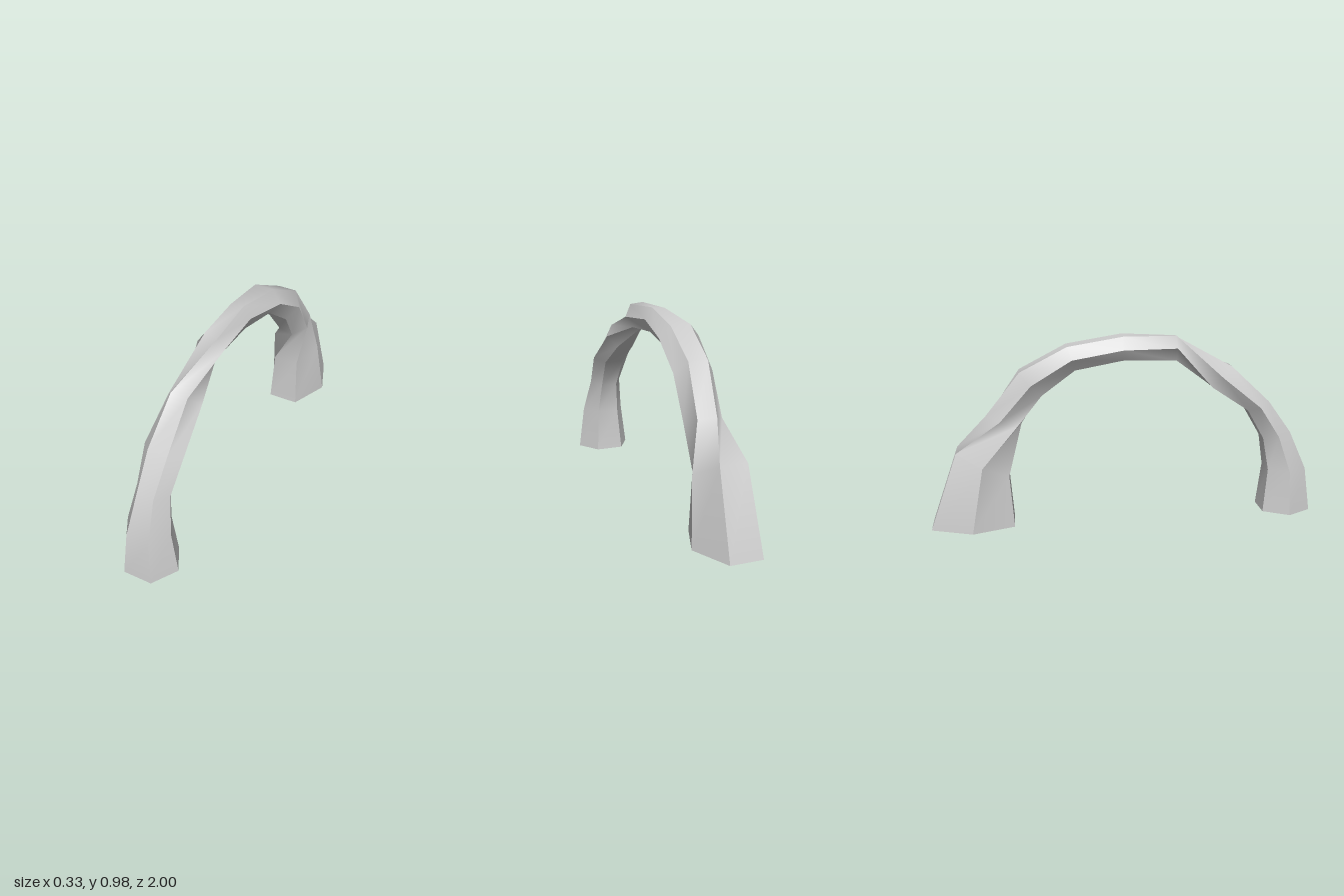
import * as THREE from 'three';

const SIDES = 6;
const rad = THREE.MathUtils.degToRad;

// Cross-sections from front foot to back foot:
// centre x, y, z, outward tilt (deg), half width, half depth, twist (deg)
const SECTIONS = [
  [0, 0.02, 0.872, 0, 0.15, 0.147, 0],
  [0, 0.25, 0.87, 0, 0.12, 0.117, 0],
  [0, 0.435, 0.812, 12, 0.09, 0.085, 0],
  [0, 0.598, 0.705, 22, 0.105, 0.069, 0],
  [0, 0.755, 0.51, 48, 0.09, 0.085, 0],
  [0, 0.905, 0.27, 90, 0.07, 0.073, 66],
  [0, 0.915, -0.005, 90, 0.07, 0.072, 55],
  [0, 0.87, -0.27, 108, 0.105, 0.073, 60],
  [0.02, 0.74, -0.475, 132, 0.1, 0.095, 60],
  [0.035, 0.545, -0.615, 162, 0.09, 0.1, 72],
  [0, 0.335, -0.728, 154, 0.138, 0.17, 120],
  [0, 0, -0.787, 180, 0.165, 0.245, 120],
];

// Corner points of one hexagonal section
function ring([x, y, z, tilt, width, depth, twist]) {
  const points = [];
  for (let i = 0; i < SIDES; i++) {
    const phi = rad(-30 + 60 * i + twist);
    const out = Math.cos(phi) * depth;
    points.push([
      x + Math.sin(phi) * width,
      y + Math.sin(rad(tilt)) * out,
      z + Math.cos(rad(tilt)) * out,
    ]);
  }
  return points;
}

function createGeometry(rings) {
  const positions = [];
  const indices = [];

  // Each strip owns its vertices: smooth along the arch, sharp between strips
  for (let i = 0; i < SIDES; i++) {
    const base = positions.length / 3;
    rings.forEach((r) => positions.push(...r[i], ...r[(i + 1) % SIDES]));
    for (let k = 0; k < rings.length - 1; k++) {
      const a = base + 2 * k;
      indices.push(a, a + 1, a + 3, a, a + 3, a + 2);
    }
  }

  // Flat undersides of the feet
  const ends = [[...rings[0]].reverse(), rings[rings.length - 1]];
  for (const end of ends) {
    const base = positions.length / 3;
    end.forEach((p) => positions.push(...p));
    for (let i = 1; i < SIDES - 1; i++) indices.push(base, base + i, base + i + 1);
  }

  const geometry = new THREE.BufferGeometry();
  geometry.setAttribute('position', new THREE.Float32BufferAttribute(positions, 3));
  geometry.setIndex(indices);
  geometry.computeVertexNormals();
  return geometry;
}

export function createModel() {
  const group = new THREE.Group();
  group.name = 'twistedArch';
  const material = new THREE.MeshStandardMaterial({ color: 0xcccccc });
  const arch = new THREE.Mesh(createGeometry(SECTIONS.map(ring)), material);
  arch.name = 'arch';
  group.add(arch);
  return group;
}
